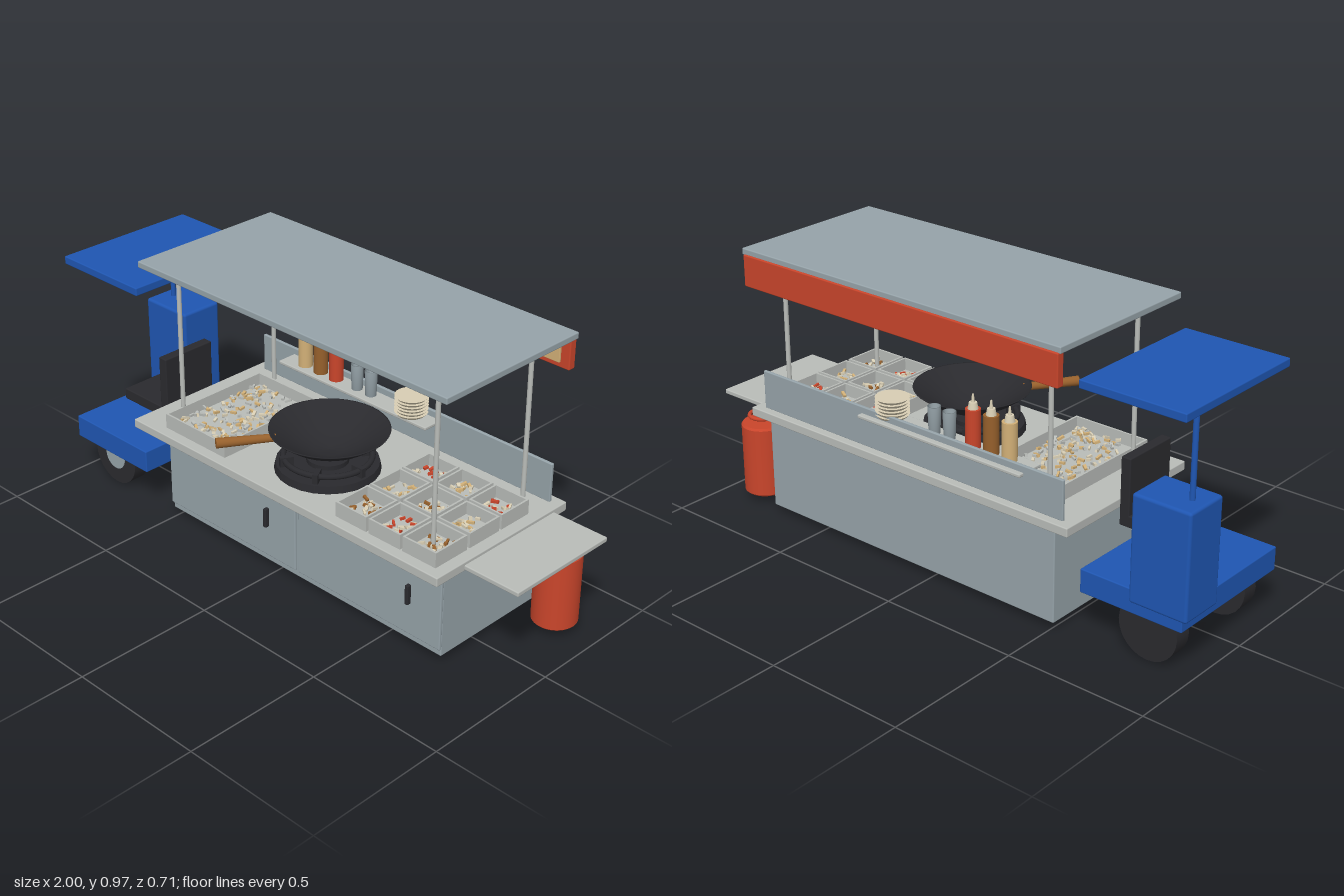
import * as THREE from 'three';
import { mergeGeometries } from 'three/addons/utils/BufferGeometryUtils.js';
import { RoundedBoxGeometry } from 'three/addons/geometries/RoundedBoxGeometry.js';

const colour = (name, hex) => {
  const m = new THREE.MeshStandardMaterial({ color: hex });
  m.name = name;
  return m;
};

export function createModel() {
  const model = new THREE.Group();
  model.name = 'foodCart';
  const M = {
    panel: colour('blueGreySteel', 0x96a3a9),
    steel: colour('lightSteel', 0xb9bcb8),
    blue: colour('bluePaint', 0x1f56b2),
    red: colour('redPaint', 0xc9452b),
    tan: colour('tan', 0xd2b077),
    brown: colour('brownWood', 0x96602c),
    dark: colour('blackIron', 0x2a2a2e),
    cream: colour('cream', 0xd8ceb4),
  };

  const add = (name, geo, mat, x = 0, y = 0, z = 0, parent = model) => {
    const mesh = new THREE.Mesh(geo, mat);
    mesh.name = name;
    mesh.position.set(x, y, z);
    parent.add(mesh);
    return mesh;
  };
  const group = (name, parent = model) => {
    const g = new THREE.Group();
    g.name = name;
    parent.add(g);
    return g;
  };
  // Box given by its limits along each axis, with softened edges
  const box = (name, mat, [x0, x1], [y0, y1], [z0, z1], parent = model, soft = 0.004) => {
    const size = [x1 - x0, y1 - y0, z1 - z0];
    const r = Math.min(soft, Math.min(...size) * 0.3);
    const geo = soft ? new RoundedBoxGeometry(...size, 2, r) : new THREE.BoxGeometry(...size);
    return add(name, geo, mat, (x0 + x1) / 2, (y0 + y1) / 2, (z0 + z1) / 2, parent);
  };
  // Upright cylinder from y0 to y1
  const rod = (name, mat, r, x, z, y0, y1, parent = model, topR = r) =>
    add(name, new THREE.CylinderGeometry(topR, r, y1 - y0, 24), mat, x, (y0 + y1) / 2, z, parent);
  const lathe = (points) => new THREE.LatheGeometry(points.map((p) => new THREE.Vector2(...p)), 40);

  // Cabinet with two doors
  box('cabinet', M.panel, [-0.515, 0.73], [0.03, 0.366], [-0.304, 0.177]);
  for (const [x0, x1, handleX] of [[-0.515, 0.1, -0.028], [0.113, 0.73, 0.602]]) {
    box('door', M.panel, [x0, x1], [0.056, 0.343], [0.174, 0.186]);
    box('doorHandle', M.dark, [handleX - 0.007, handleX + 0.007], [0.172, 0.243], [0.185, 0.203]);
  }
  for (const x of [-0.463, 0.67]) {
    for (const z of [-0.265, 0.138]) {
      add('caster', new THREE.CylinderGeometry(0.028, 0.028, 0.022, 20), M.dark, x, 0.037, z).rotation.x = Math.PI / 2;
    }
  }

  // Worktop, side shelf, splashback and bottle shelf
  box('worktop', M.steel, [-0.583, 0.79], [0.363, 0.395], [-0.332, 0.28]);
  box('sideShelf', M.steel, [0.785, 0.995], [0.367, 0.384], [-0.271, 0.156]);
  box('splashback', M.panel, [-0.543, 0.753], [0.393, 0.531], [-0.303, -0.291]);
  box('bottleShelf', M.steel, [-0.39, 0.292], [0.496, 0.508], [-0.322, -0.218]);

  // Roof, posts and sign board
  box('roof', M.panel, [-0.56, 0.775], [0.953, 0.976], [-0.348, 0.25]);
  for (const x of [-0.461, 0.67]) {
    for (const z of [-0.262, 0.163]) rod('roofPost', M.steel, 0.008, x, z, 0.393, 0.955);
  }
  box('signBoard', M.red, [-0.556, 0.763], [0.847, 0.957], [-0.355, -0.327]);
  box('signFace', M.tan, [-0.514, 0.73], [0.865, 0.944], [-0.328, -0.319]);

  // Gas burner
  const burner = group('burner');
  burner.position.set(0.107, 0, 0.043);
  rod('burnerBase', M.dark, 0.175, 0, 0, 0.394, 0.42, burner, 0.17);
  rod('burnerHead', M.dark, 0.07, 0, 0, 0.42, 0.436, burner);
  add('burnerRing', new THREE.TorusGeometry(0.145, 0.01, 8, 40), M.dark, 0, 0.441, 0, burner).rotation.x = Math.PI / 2;
  for (let i = 0; i < 6; i++) {
    const a = (i / 6) * Math.PI * 2;
    const prong = add('panSupport', new THREE.BoxGeometry(0.045, 0.038, 0.018), M.dark,
      Math.cos(a) * 0.138, 0.434, -Math.sin(a) * 0.138, burner);
    prong.rotation.y = a;
  }

  // Wok with a slanted wooden handle
  add('wok', lathe([[0, 0.453], [0.05, 0.459], [0.1, 0.476], [0.15, 0.504], [0.196, 0.538], [0.198, 0.542],
    [0.192, 0.542], [0.146, 0.511], [0.097, 0.484], [0.05, 0.467], [0, 0.462]]), M.dark, 0.114, 0, 0.042);
  const gripEnd = new THREE.Vector3(-0.097, 0.52, 0.343);
  const gripStart = new THREE.Vector3(0.01, 0.52, 0.182);
  const grip = add('wokHandle', new THREE.CylinderGeometry(0.017, 0.013, gripEnd.distanceTo(gripStart), 20), M.brown);
  grip.position.copy(gripEnd).add(gripStart).multiplyScalar(0.5);
  grip.quaternion.setFromUnitVectors(new THREE.Vector3(0, 1, 0), gripEnd.clone().sub(gripStart).normalize());

  // Open food trays filled with scattered pieces
  let seed = 7;
  const rand = () => (seed = (seed * 16807) % 2147483647) / 2147483647;
  const span = (a, b) => a + (b - a) * rand();
  const tray = (name, [x0, x1], [z0, z1], fills, count) => {
    const g = group(name);
    const t = 0.007, y = [0.394, 0.447];
    box('trayFloor', M.steel, [x0, x1], [0.394, 0.404], [z0, z1], g, 0);
    for (const x of [x0, x1 - t]) box('traySide', M.steel, [x, x + t], y, [z0, z1], g, 0);
    for (const z of [z0, z1 - t]) box('trayEnd', M.steel, [x0 + t, x1 - t], y, [z, z + t], g, 0);
    for (const fill of fills) {
      const bits = [];
      for (let i = 0; i < count; i++) {
        const bit = new THREE.BoxGeometry(span(0.014, 0.026), 0.008, span(0.006, 0.011));
        bit.rotateZ(span(-0.4, 0.4)).rotateY(span(0, Math.PI));
        bit.translate(span(x0 + 0.022, x1 - 0.022), span(0.408, 0.424), span(z0 + 0.022, z1 - 0.022));
        bits.push(bit);
      }
      add('foodPieces', mergeGeometries(bits), fill, 0, 0, 0, g);
    }
  };
  tray('largeTray', [-0.46, -0.17], [-0.19, 0.242], [M.cream, M.steel, M.tan], 60);
  const fillings = [[M.red, M.cream], [M.cream, M.tan], [M.brown, M.cream]];
  [[-0.19, -0.06], [-0.05, 0.088], [0.1, 0.242]].forEach((zs, row) => {
    [[0.337, 0.467], [0.477, 0.607], [0.617, 0.75]].forEach((xs, col) => {
      tray('smallTray', xs, zs, fillings[(row + (col === 1 ? 1 : 0)) % 3], 9);
    });
  });

  // Sauce bottles, cups and stacked plates
  [[-0.3, M.tan], [-0.226, M.brown], [-0.152, M.red]].forEach(([x, mat]) => {
    const bottle = group('sauceBottle');
    rod('bottleBody', mat, 0.025, x, -0.26, 0.507, 0.638, bottle);
    rod('bottleCap', M.cream, 0.017, x, -0.26, 0.638, 0.66, bottle, 0.013);
    rod('bottleTip', M.cream, 0.006, x, -0.26, 0.66, 0.687, bottle, 0.003);
  });
  for (const x of [-0.054, 0.01]) {
    add('cup', lathe([[0, 0.507], [0.019, 0.507], [0.022, 0.6], [0.019, 0.6], [0.016, 0.515], [0, 0.515]]), M.panel, x, 0, -0.26);
  }
  for (let i = 0; i < 6; i++) {
    const y = 0.511 + i * 0.0115;
    rod('plate', M.cream, 0.048, 0.195, -0.257, y, y + 0.01, model, 0.057);
  }

  // Gas bottle with a carrying ring
  add('gasBottle', lathe([[0, 0.03], [0.07, 0.03], [0.076, 0.036], [0.076, 0.284], [0.07, 0.291], [0, 0.291]]
    .flatMap((p) => [p, p])), M.red, 0.848, 0, -0.233);
  add('gasBottleRing', new THREE.TorusGeometry(0.046, 0.007, 10, 32), M.red, 0.848, 0.317, -0.233).rotation.x = Math.PI / 2;

  // Driver platform, seat and rear box
  box('platform', M.blue, [-0.968, -0.592], [0.158, 0.24], [-0.275, 0.231]);
  box('rearBox', M.blue, [-1, -0.792], [0.21, 0.572], [-0.302, -0.139], model, 0.01);
  box('seat', M.dark, [-0.83, -0.6], [0.32, 0.36], [-0.093, 0.117]);
  box('seatBack', M.dark, [-0.636, -0.6], [0.32, 0.553], [-0.093, 0.117]);
  rod('canopyPost', M.blue, 0.009, -0.95, -0.225, 0.56, 0.845);
  box('canopy', M.blue, [-0.963, -0.585], [0.838, 0.867], [-0.294, 0.242]);

  // Road wheels
  for (const z of [-0.218, 0.146]) {
    const wheel = group('wheel');
    wheel.position.set(-0.83, 0.109, z);
    wheel.rotation.x = Math.PI / 2;
    rod('tyre', M.dark, 0.107, 0, 0, -0.031, 0.031, wheel);
    rod('hub', M.panel, 0.05, 0, 0, 0, 0.034, wheel);
  }
  return model;
}
